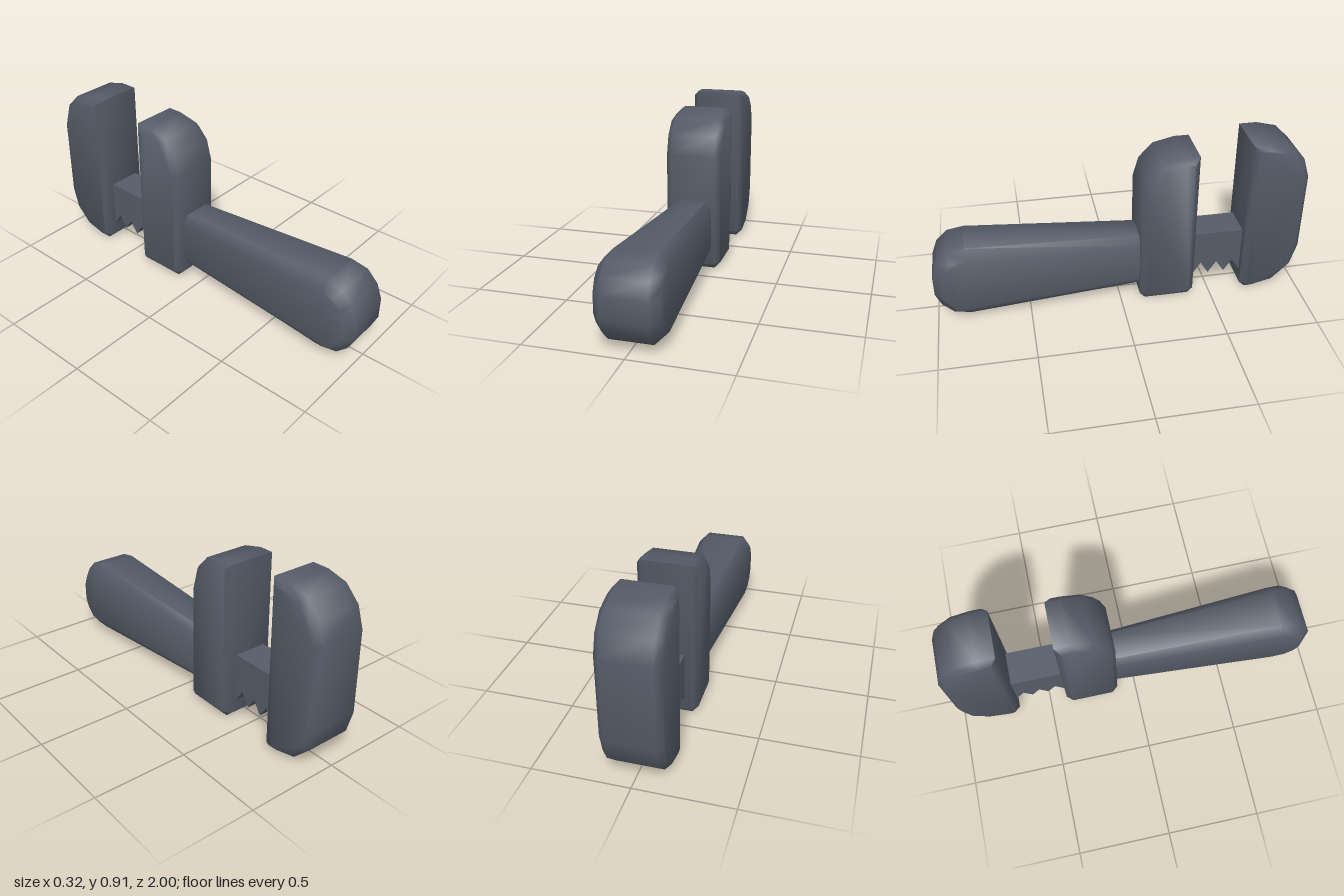
import * as THREE from 'three';
import { toCreasedNormals } from 'three/addons/utils/BufferGeometryUtils.js';

const material = new THREE.MeshStandardMaterial({ color: 0x555c68 });

// Side profile of [z, y] points, extruded across x with chamfered edges kept inside the profile
function slab(name, profile, halfWidth, bevel, taper) {
  const shape = new THREE.Shape(profile.map(([z, y]) => new THREE.Vector2(z, y)));
  let geo = new THREE.ExtrudeGeometry(shape, {
    depth: 2 * (halfWidth - bevel),
    bevelEnabled: bevel > 0,
    bevelThickness: bevel,
    bevelSize: bevel,
    bevelOffset: -bevel,
    bevelSegments: 1,
  });
  geo.translate(0, 0, bevel - halfWidth);
  geo.rotateY(-Math.PI / 2);
  if (taper) {
    const p = geo.attributes.position;
    for (let i = 0; i < p.count; i++) p.setX(i, p.getX(i) * taper(p.getZ(i)));
  }
  geo = toCreasedNormals(geo, bevel > 0 ? 1.0 : 0.3);
  const mesh = new THREE.Mesh(geo, material);
  mesh.name = name;
  return mesh;
}

export function createModel() {
  const group = new THREE.Group();
  group.name = 'wrench';

  // Handle: thickens towards its rounded free end, root buried in the fixed jaw
  group.add(slab('handle', [
    [-0.2, 0.08], [0.82, 0.02], [0.91, 0.04], [0.97, 0.1], [1, 0.17],
    [1, 0.285], [0.97, 0.365], [0.91, 0.425], [0.82, 0.443], [-0.2, 0.385],
  ], 0.158, 0.047, (z) => (0.108 + 0.05 * (z + 0.1) / 1.05) / 0.158));

  // Fixed jaw, rounded at the top towards the handle
  group.add(slab('fixedJaw', [
    [-0.405, 0.03], [-0.375, 0], [-0.135, 0], [-0.105, 0.03], [-0.105, 0.65],
    [-0.135, 0.76], [-0.21, 0.84], [-0.325, 0.867], [-0.405, 0.867],
  ], 0.153, 0.03));

  // Sliding jaw, rounded on its outer side
  group.add(slab('slidingJaw', [
    [-0.68, 0.03], [-0.71, 0], [-0.75, 0], [-0.87, 0.03], [-0.965, 0.125], [-1, 0.25],
    [-1, 0.69], [-0.965, 0.8], [-0.885, 0.88], [-0.775, 0.908], [-0.68, 0.908],
  ], 0.153, 0.03));

  // Rack bar joining the jaws, with teeth underneath
  const teeth = 3, start = -0.41, pitch = 0.09;
  const rack = [[-0.37, 0.365], [-0.37, 0.1]];
  for (let i = 0; i < teeth; i++) {
    const z = start - i * pitch;
    rack.push([z, 0.1], [z - pitch / 2, 0.17]);
  }
  rack.push([start - teeth * pitch, 0.1], [-0.72, 0.1], [-0.72, 0.365]);
  group.add(slab('toothedBar', rack, 0.09, 0));

  return group;
}
